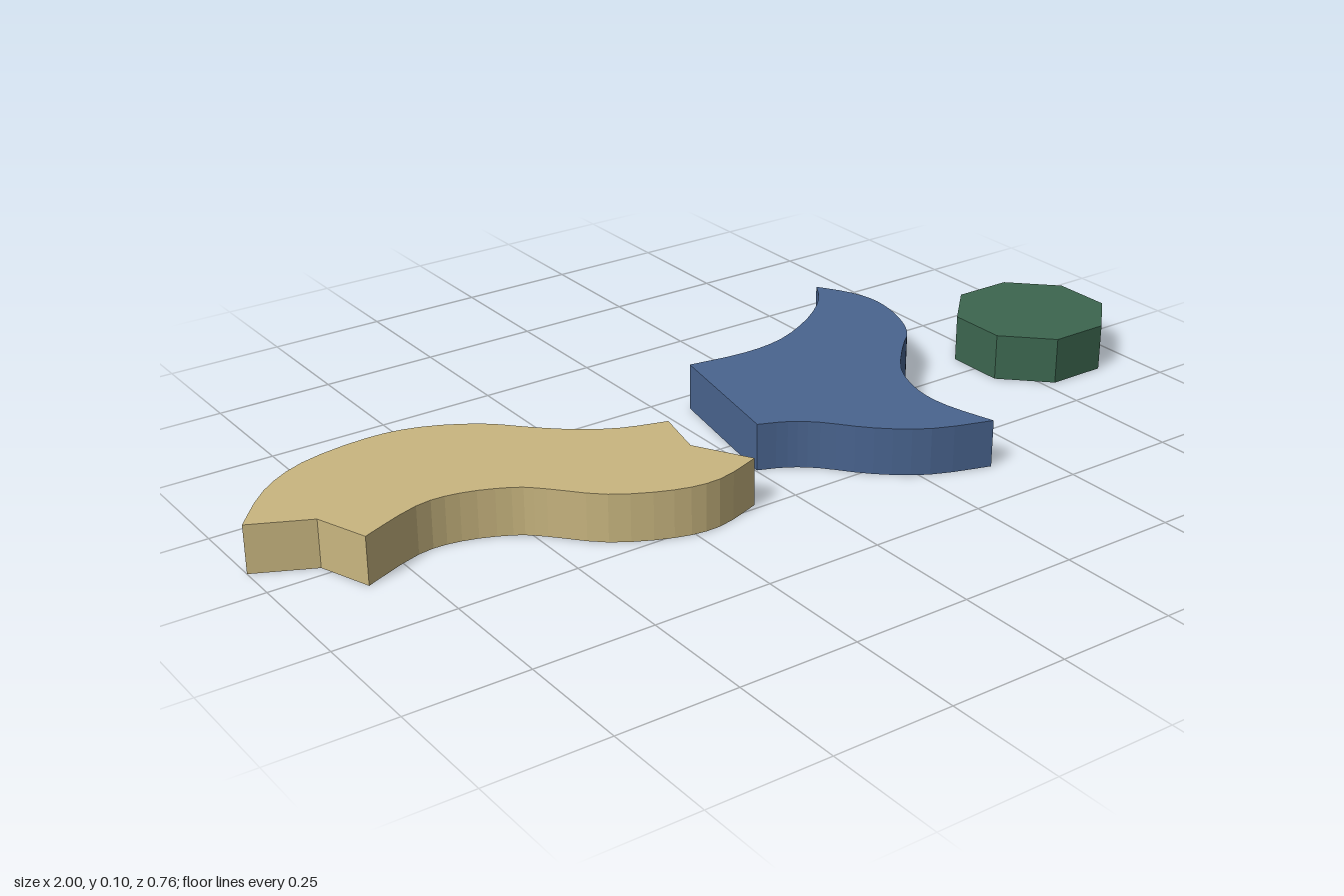
import * as THREE from 'three';

const HEIGHT = 0.101;

const material = (name, color) => {
  const m = new THREE.MeshStandardMaterial({ color });
  m.name = name;
  return m;
};

// Flat plate whose outline is a chain of edges; each edge is a list of [x, z]
// points, smoothed by a spline, with sharp corners where edges meet.
function plate(name, mat, edges) {
  const outline = [];
  for (const edge of edges) {
    const points = edge.map(([x, z]) => new THREE.Vector2(x, -z));
    const curve = new THREE.SplineCurve(points);
    const steps = points.length > 2 ? (points.length - 1) * 3 : 1;
    outline.push(...curve.getPoints(steps).slice(0, -1));
  }
  const geometry = new THREE.ExtrudeGeometry(new THREE.Shape(outline), { depth: HEIGHT, bevelEnabled: false });
  geometry.rotateX(-Math.PI / 2);
  const mesh = new THREE.Mesh(geometry, mat);
  mesh.name = name;
  return mesh;
}

export function createModel() {
  const group = new THREE.Group();
  group.name = 'tileSet';

  // S-shaped tile with notched ends
  group.add(plate('waveTile', material('sand', 0xc9b680), [
    [[-1, -0.083], [-0.91, -0.185], [-0.8, -0.25], [-0.65, -0.274], [-0.54, -0.257], [-0.435, -0.2],
      [-0.36, -0.125], [-0.3, -0.072], [-0.225, -0.025], [-0.13, 0.005]],
    [[-0.13, 0.005], [-0.157, 0.12]],
    [[-0.157, 0.12], [-0.09, 0.237]],
    [[-0.09, 0.237], [-0.195, 0.27], [-0.29, 0.257], [-0.4, 0.2], [-0.48, 0.115], [-0.53, 0.072],
      [-0.62, 0.036], [-0.71, 0.034], [-0.84, 0.085]],
    [[-0.84, 0.085], [-0.88, -0.025]],
    [[-0.88, -0.025], [-1, -0.083]],
  ]));

  // Forked tile with one straight side and two curved horns
  group.add(plate('hornTile', material('blue', 0x49648f), [
    [[0.062, -0.195], [0.19, -0.179], [0.3, -0.193], [0.415, -0.25], [0.5, -0.32], [0.543, -0.383]],
    [[0.543, -0.383], [0.585, -0.31], [0.6, -0.235], [0.582, -0.145], [0.543, -0.065], [0.485, -0.01],
      [0.405, 0.08], [0.366, 0.18], [0.365, 0.27], [0.393, 0.378]],
    [[0.393, 0.378], [0.27, 0.335], [0.18, 0.267], [0.11, 0.185], [0.06, 0.145], [0.003, 0.12]],
    [[0.003, 0.12], [0.062, -0.195]],
  ]));

  // Octagonal tile
  const corners = Array.from({ length: 9 }, (_, i) => {
    const a = (i + 0.5) * Math.PI / 4;
    return [0.841 + 0.169 * Math.cos(a), 0.169 * Math.sin(a)];
  });
  group.add(plate('octagonTile', material('green', 0x3c664f),
    corners.slice(0, 8).map((c, i) => [c, corners[i + 1]])));

  return group;
}
